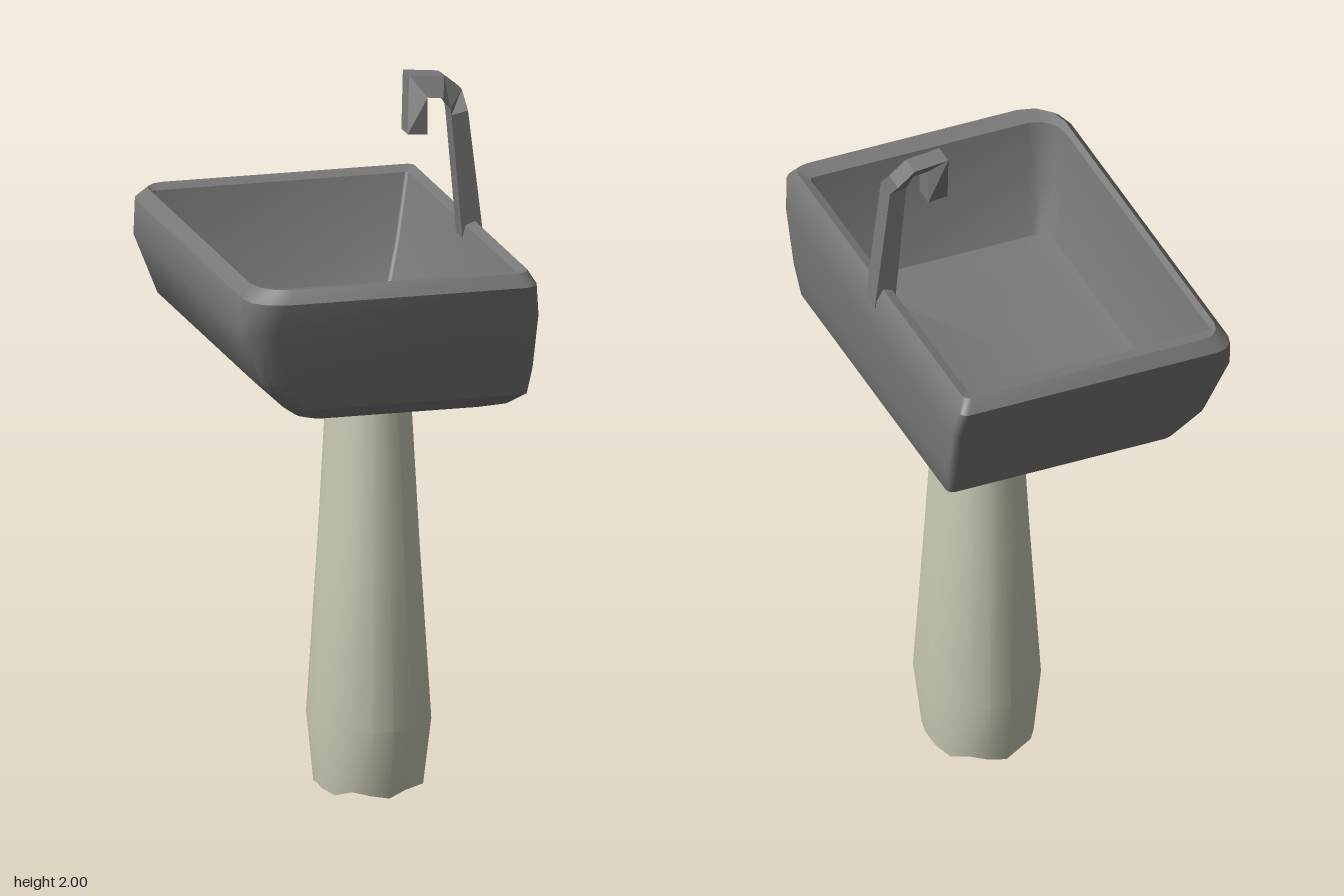
import * as THREE from 'three';
import { toCreasedNormals } from 'three/addons/utils/BufferGeometryUtils.js';

// Skin a stack of equal-length point loops and close both ends.
function loft(rings, crease) {
  const n = rings[0].length, pos = [], idx = [];
  rings.forEach(r => r.forEach(p => pos.push(...p)));
  for (let i = 0; i < rings.length - 1; i++)
    for (let j = 0; j < n; j++) {
      const a = i * n + j, b = i * n + (j + 1) % n;
      idx.push(a, a + n, b, b, a + n, b + n);
    }
  [0, rings.length - 1].forEach((r, end) => {
    const c = pos.length / 3;
    for (let k = 0; k < 3; k++) pos.push(rings[r].reduce((s, p) => s + p[k], 0) / n);
    for (let j = 0; j < n; j++) {
      const a = r * n + j, b = r * n + (j + 1) % n;
      if (end) idx.push(c, b, a); else idx.push(c, a, b);
    }
  });
  const geo = new THREE.BufferGeometry();
  geo.setAttribute('position', new THREE.Float32BufferAttribute(pos, 3));
  geo.setIndex(idx);
  return toCreasedNormals(geo, crease);
}

// Rounded rectangle at height y, with separate radii for the four corners.
function roundedRing([y, x0, x1, z0, z1, rFrontLeft, rFrontRight, rBackRight, rBackLeft]) {
  const corners = [
    [x1, z1, -1, -1, rFrontLeft], [x0, z1, 1, -1, rFrontRight],
    [x0, z0, 1, 1, rBackRight], [x1, z0, -1, 1, rBackLeft]];
  const pts = [];
  corners.forEach(([x, z, sx, sz, r], q) => {
    for (let k = 0; k < 4; k++) {
      const t = (q + k / 3) * Math.PI / 2;
      pts.push([x + sx * r + Math.cos(t) * r, y, z + sz * r + Math.sin(t) * r]);
    }
  });
  return pts;
}

export function createModel() {
  const group = new THREE.Group();
  const greyMetal = new THREE.MeshStandardMaterial({ color: 0x787878 });
  greyMetal.name = 'grey';
  const paleStone = new THREE.MeshStandardMaterial({ color: 0xc8cab4 });
  paleStone.name = 'pale stone';
  const add = (name, geo, mat) => {
    const mesh = new THREE.Mesh(geo, mat);
    mesh.name = name;
    group.add(mesh);
  };

  // Basin: up the outer shell, over the rim, down to the inner floor
  const basin = [
    [1.16, -0.20, 0.32, -0.40, 0.40, 0.03, 0.05, 0.05, 0.03],
    [1.175, -0.23, 0.37, -0.44, 0.44, 0.02, 0.05, 0.04, 0.02],
    [1.22, -0.285, 0.40, -0.515, 0.52, 0.02, 0.05, 0.04, 0.02],
    [1.30, -0.37, 0.408, -0.545, 0.55, 0.02, 0.07, 0.05, 0.02],
    [1.46, -0.428, 0.415, -0.59, 0.595, 0.03, 0.09, 0.06, 0.02],
    [1.55, -0.415, 0.405, -0.622, 0.622, 0.04, 0.10, 0.06, 0.02],
    [1.585, -0.385, 0.385, -0.595, 0.595, 0.04, 0.10, 0.06, 0.02],
    [1.575, -0.37, 0.358, -0.548, 0.54, 0.01, 0.08, 0.01, 0.01],
    [1.40, -0.35, 0.315, -0.49, 0.50, 0.01, 0.07, 0.01, 0.01],
    [1.27, -0.31, 0.27, -0.43, 0.44, 0.01, 0.05, 0.01, 0.01],
    [1.255, -0.24, 0.25, -0.39, 0.40, 0.01, 0.05, 0.01, 0.01],
  ];
  add('basin', loft(basin.map(roundedRing), 0.6), greyMetal);

  // Drain: a thin wedge-shaped plate on the floor
  const drain = [[0.11, -0.38], [0.09, -0.28], [0.03, -0.25], [0.01, -0.385]];
  add('drain', loft([1.25, 1.259].map(y => drain.map(([x, z]) => [x, y, z])), 0), greyMetal);

  // Pedestal: rounded column with one flat panel and an uneven foot
  const angles = [25];
  for (let a = 65; a < 380; a += 20) angles.push(a);
  const pedestal = [
    [0.01, 0.09, 0.15, 0, 0.17], [0.20, 0.09, 0.17, 0.005, 0.203],
    [0.70, 0.09, 0.138, 0.004, 0.167], [1.18, 0.09, 0.112, 0.002, 0.134]];
  add('pedestal', loft(pedestal.map(([y, cx, rx, cz, rz], i) => angles.map((deg, j) => {
    const a = deg * Math.PI / 180;
    const lift = i ? 0 : 0.01 * Math.sin(j * 2.1);
    return [cx + rx * Math.cos(a), y + lift, cz + rz * Math.sin(a)];
  })), 0.45), paleStone);

  // Faucet: square bar, each step as outer x, y, z shift, then inner x, y
  const faucet = [
    [0.41, 1.53, 0, 0.35, 1.53],
    [0.365, 1.90, 0, 0.318, 1.89],
    [0.36, 1.95, -0.045, 0.315, 1.91],
    [0.31, 1.99, -0.045, 0.295, 1.94],
    [0.21, 2.0, -0.045, 0.25, 1.945],
    [0.193, 1.845, 0, 0.25, 1.84]];
  add('faucet', loft(faucet.map(([ox, oy, dz, ix, iy]) => [
    [ox, oy, dz - 0.03], [ox, oy, dz + 0.033], [ix, iy, 0.033], [ix, iy, -0.03]]), 0), greyMetal);

  return group;
}
